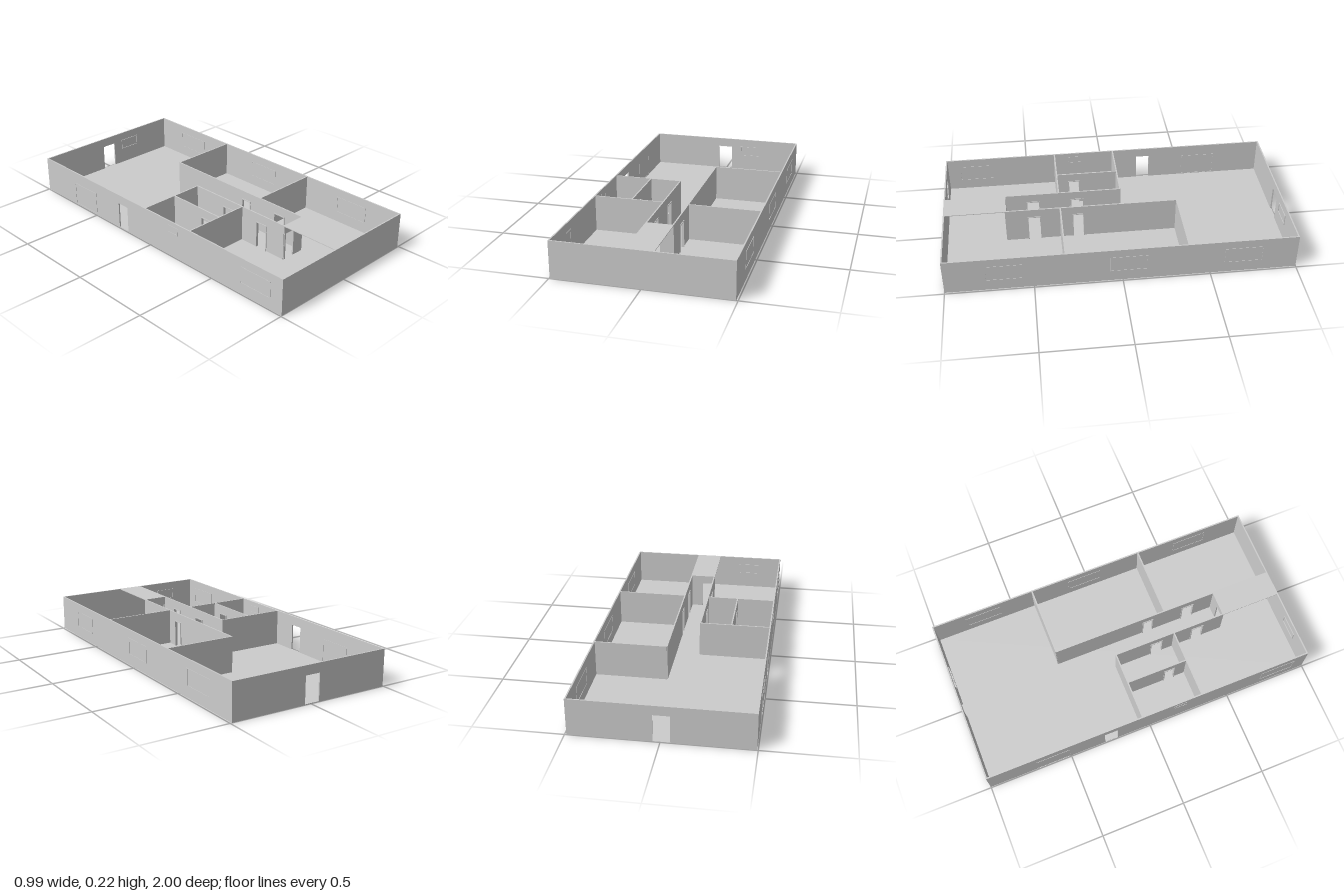
import * as THREE from 'three';

const X0 = -0.495, X1 = 0.49, H = 0.215, T = 0.008, DOOR_H = 0.165;
const material = new THREE.MeshStandardMaterial({ color: 0xcccccc, flatShading: true });

// Upright panel along 'x' or 'z', centred on the line at `at`
function panel(name, axis, at, shape, depth) {
  const geometry = new THREE.ExtrudeGeometry(shape, { depth, bevelEnabled: false });
  geometry.translate(0, 0, -depth / 2);
  if (axis === 'z') geometry.rotateY(-Math.PI / 2);
  const mesh = new THREE.Mesh(geometry, material);
  mesh.name = name;
  mesh.position[axis === 'x' ? 'z' : 'x'] = at;
  return mesh;
}

function rect(a, b, y0, y1, Type = THREE.Shape) {
  const s = new Type();
  s.moveTo(a, y0);
  s.lineTo(b, y0);
  s.lineTo(b, y1);
  s.lineTo(a, y1);
  s.closePath();
  return s;
}

// Wall from a to b, with doorways [start, end] cut up from the floor
function wall(name, axis, at, a, b, doors = []) {
  const s = new THREE.Shape();
  s.moveTo(a, 0);
  for (const [d0, d1] of doors) {
    s.lineTo(d0, 0);
    s.lineTo(d0, DOOR_H);
    s.lineTo(d1, DOOR_H);
    s.lineTo(d1, 0);
  }
  s.lineTo(b, 0);
  s.lineTo(b, H);
  s.lineTo(a, H);
  s.closePath();
  return panel(name, axis, at, s, T);
}

// Thin rectangular trim around a window
function windowFrame(axis, at, a, b, y0, y1) {
  const s = rect(a, b, y0, y1), w = 0.005;
  s.holes.push(rect(a + w, b - w, y0 + w, y1 - w, THREE.Path));
  return panel('windowFrame', axis, at, s, 0.012);
}

// Trim on both jambs and the head of a doorway
function doorFrame(axis, at, a, b, depth) {
  const w = 0.005, h = DOOR_H, s = new THREE.Shape();
  [[a, 0], [a + w, 0], [a + w, h - w], [b - w, h - w], [b - w, 0], [b, 0], [b, h], [a, h]]
    .forEach(([x, y], i) => (i ? s.lineTo(x, y) : s.moveTo(x, y)));
  s.closePath();
  return panel('doorFrame', axis, at, s, depth);
}

function slab(name, x0, x1, z0, z1, y0, y1) {
  const mesh = new THREE.Mesh(new THREE.BoxGeometry(x1 - x0, y1 - y0, z1 - z0), material);
  mesh.name = name;
  mesh.position.set((x0 + x1) / 2, (y0 + y1) / 2, (z0 + z1) / 2);
  return mesh;
}

export function createModel() {
  const house = new THREE.Group();
  house.name = 'house';
  const left = X0 + T / 2, right = X1 - T / 2, front = 1 - T / 2, back = -front;
  const hallA = -0.08, hallB = 0.068, hallEnd = 0.64;

  house.add(slab('floor', X0, X1, -1, 1, 0, 0.004));

  // Outer and inner walls: name, axis, position, start, end, doorways
  const walls = [
    ['frontWall', 'x', front, X0, X1],
    ['backWall', 'x', back, X0, X1, [[-0.058, 0.044]]],
    ['leftSideWall', 'z', left, -1, 1, [[-0.29, -0.2]]],
    ['rightSideWall', 'z', right, -1, 1],
    ['hallWall', 'z', hallA, -0.05, hallEnd, [[0.17, 0.25], [0.435, 0.515]]],
    ['hallWall', 'z', hallB, -0.37, hallEnd, [[0.18, 0.25], [0.435, 0.515]]],
    ['hallEndWall', 'x', hallEnd, hallA, hallB, [[-0.07, -0.005]]],
    ['roomDivider', 'x', -0.05, X0, hallA],
    ['roomDivider', 'x', 0.32, X0, hallA],
    ['roomDivider', 'z', -0.265, -0.05, 0.32, [[0.18, 0.25]]],
    ['roomDivider', 'x', -0.37, hallB, X1],
    ['roomDivider', 'x', 0.32, hallB, X1],
  ];
  for (const [name, axis, at, a, b, doors = []] of walls) {
    house.add(wall(name, axis, at, a, b, doors));
    const outer = name === 'backWall' || name === 'leftSideWall';
    for (const [d0, d1] of doors) {
      if (name !== 'hallEndWall') house.add(doorFrame(axis, at, d0, d1, outer ? T : 0.016));
    }
  }

  // Ceiling strip between the hall end and the front wall
  house.add(slab('ceilingStrip', hallA - T / 2, hallB + T / 2, hallEnd, 1, H - 0.004, H));

  // Windows on the right side
  for (const [a, b] of [[-0.8, -0.58], [-0.14, 0.07], [0.56, 0.77]]) {
    house.add(windowFrame('z', right, a, b, 0.065, 0.165));
  }
  // Windows on the left side, front and back
  house.add(windowFrame('z', left, 0.71, 0.92, 0.065, 0.165));
  house.add(windowFrame('z', left, 0.15, 0.23, 0.145, 0.19));
  house.add(windowFrame('z', left, -0.71, -0.5, 0.005, 0.145));
  house.add(windowFrame('x', front - 0.002, -0.345, -0.215, 0.1, 0.165));
  house.add(windowFrame('x', back + 0.002, 0.1, 0.235, 0.1, 0.165));

  return house;
}
